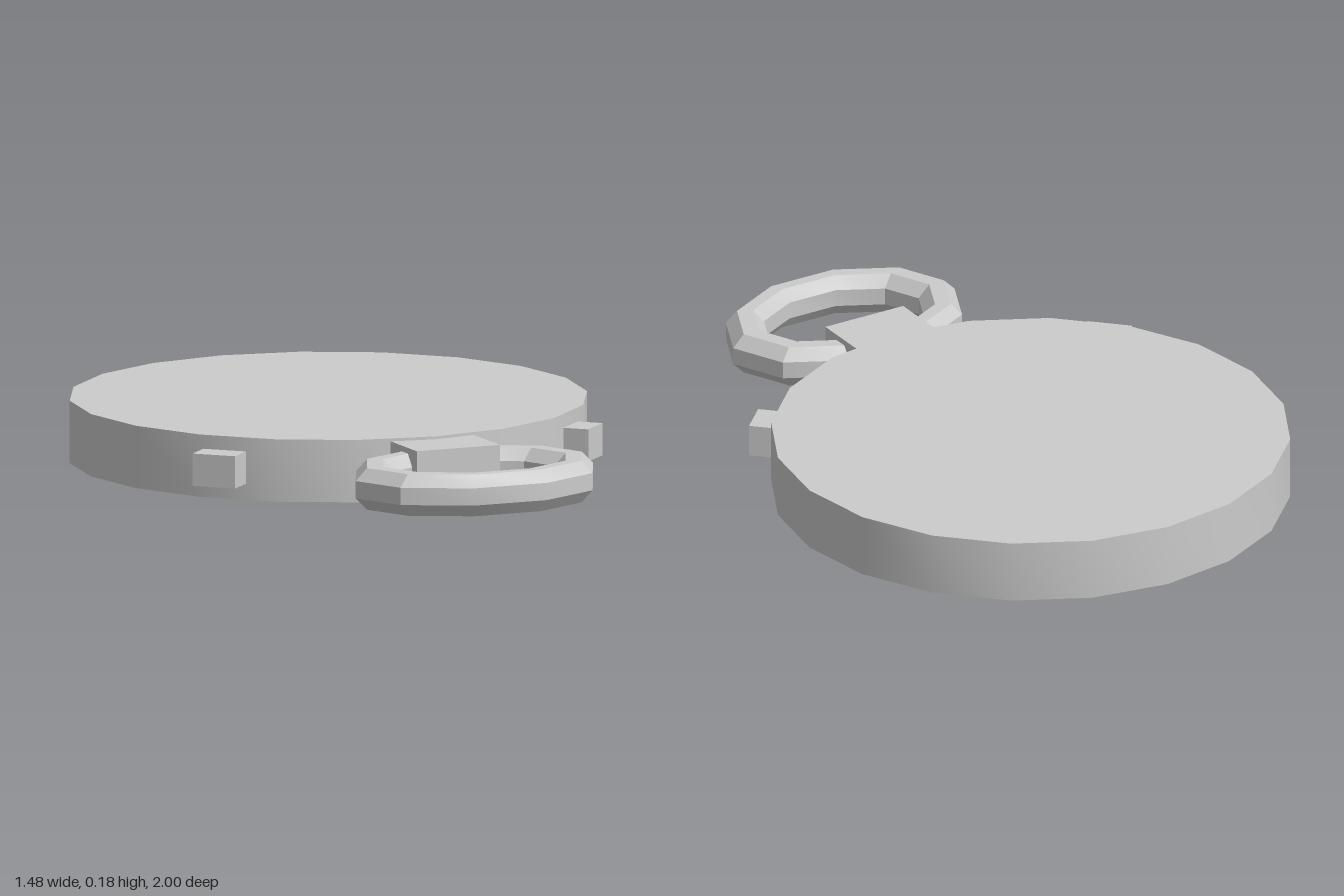
import * as THREE from 'three';
import { toCreasedNormals } from 'three/addons/utils/BufferGeometryUtils.js';

const material = new THREE.MeshStandardMaterial({ color: 0xcccccc });

export function createModel() {
  const model = new THREE.Group();

  const add = (name, geometry, x, y, z) => {
    const mesh = new THREE.Mesh(geometry, material);
    mesh.name = name;
    mesh.position.set(x, y, z);
    model.add(mesh);
    return mesh;
  };
  const box = (name, w, h, d, x, y, z) => add(name, new THREE.BoxGeometry(w, h, d), x, y, z);

  const centreZ = -0.26;

  // Round case lying face down, with a recessed dial underneath
  const caseProfile = [
    [0, 0.05], [0.65, 0.05], [0.65, 0], [0.74, 0], [0.74, 0.18], [0, 0.18],
  ].map(([r, y]) => new THREE.Vector2(r, y));
  add('watchCase', toCreasedNormals(new THREE.LatheGeometry(caseProfile, 20), 0.5), 0, 0, centreZ);

  // Hub and hands on the dial
  box('handHub', 0.123, 0.03, 0.123, 0, 0.04, centreZ);
  box('hourHand', 0.39, 0.02, 0.03, 0.195, 0.042, centreZ);
  box('minuteHand', 0.03, 0.02, 0.61, 0, 0.042, centreZ + 0.305);

  // Stem block that holds the ring
  box('stem', 0.26, 0.153, 0.24, 0, 0.095, 0.52);

  // Oval ring: an octagonal section swept in ten faceted segments
  const ringProfile = [];
  for (let i = 0; i <= 8; i++) {
    const a = (i + 0.5) * Math.PI / 4;
    ringProfile.push(new THREE.Vector2(0.31 + 0.065 * Math.cos(a), 0.065 * Math.sin(a)));
  }
  const ring = new THREE.LatheGeometry(ringProfile, 10, Math.PI / 2);
  ring.scale(1, 1, 0.71);
  add('ring', toCreasedNormals(ring, 0.5), 0, 0.095, 0.75);

  // Side buttons set diagonally into the rim
  const button = (name, side, x, z, width) => {
    const depth = 0.16;
    const inset = depth / 2 * Math.SQRT1_2;
    const mesh = box(name, width, 0.093, depth, x - side * inset, 0.093, z - inset);
    mesh.rotation.y = side * Math.PI / 4;
  };
  button('leftButton', 1, 0.58, 0.3, 0.113);
  button('rightButton', -1, -0.605, 0.29, 0.13);

  return model;
}
